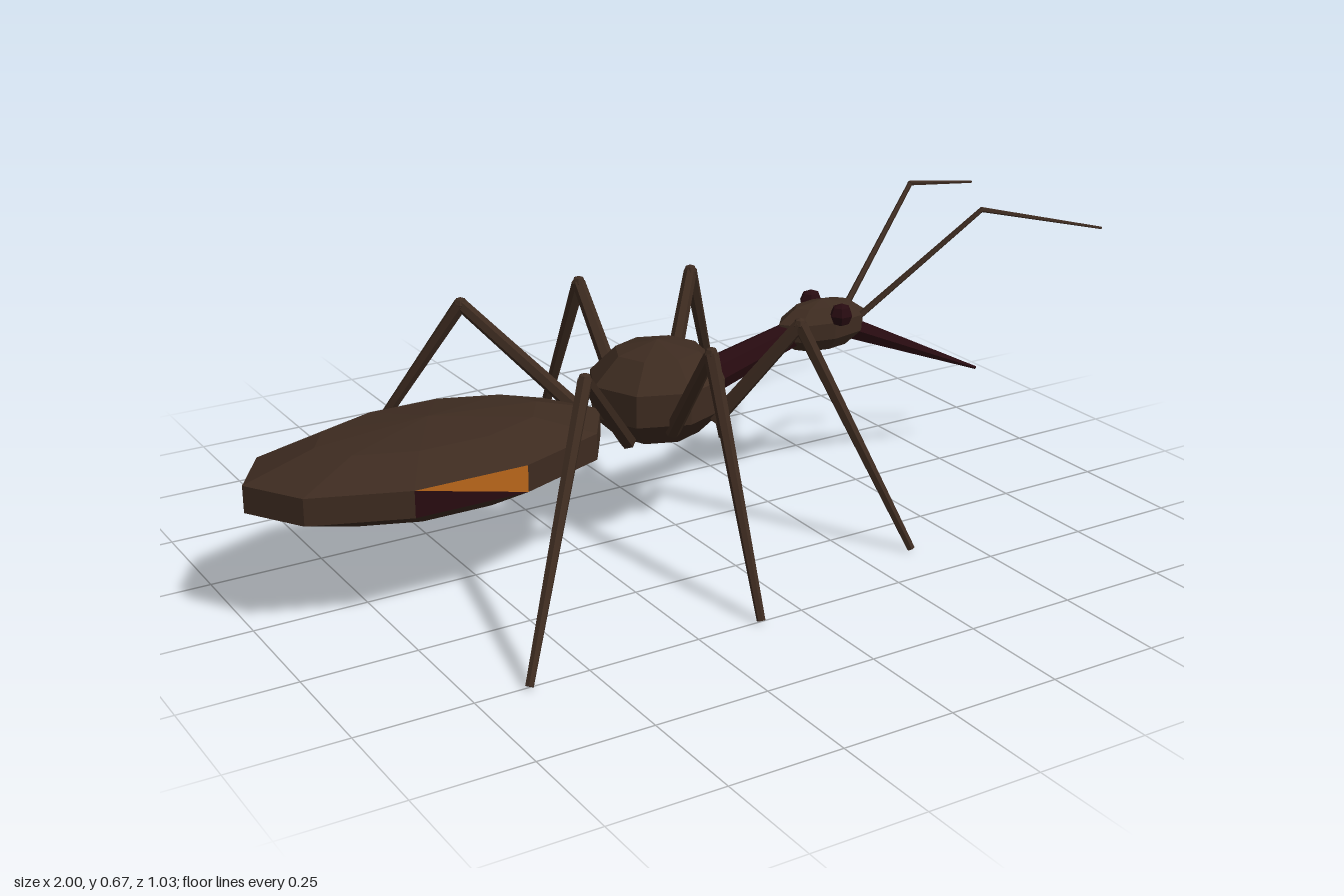
import * as THREE from 'three';

const flat = (name, color) => {
  const m = new THREE.MeshStandardMaterial({ color, flatShading: true });
  m.name = name;
  return m;
};

export function createModel() {
  const brown = flat('shellBrown', 0x3d2b20);
  const maroon = flat('darkMaroon', 0x270b10);
  const orange = flat('amber', 0xb9661a);
  const model = new THREE.Group();
  model.name = 'insect';

  const add = (name, geometry, material, parent = model) => {
    const mesh = new THREE.Mesh(geometry, material);
    mesh.name = name;
    parent.add(mesh);
    return mesh;
  };

  // Low-poly ellipsoid with an upright pole
  const ellipsoid = (name, pos, radii, sides, rings, material, parent) => {
    const g = new THREE.SphereGeometry(1, sides, rings);
    g.scale(...radii);
    g.translate(...pos);
    return add(name, g, material, parent);
  };

  // Tapered rod between two points
  const rod = (name, a, b, ra, rb, sides, material, parent) => {
    const p = new THREE.Vector3(...a);
    const q = new THREE.Vector3(...b);
    const dir = q.clone().sub(p);
    const g = new THREE.CylinderGeometry(rb, ra, dir.length(), sides);
    const mesh = add(name, g, material, parent);
    mesh.position.copy(p).add(q).multiplyScalar(0.5);
    mesh.quaternion.setFromUnitVectors(new THREE.Vector3(0, 1, 0), dir.normalize());
    return mesh;
  };

  // Abdomen, with one amber and one maroon triangle on each flank
  const abdomen = ellipsoid('abdomen', [-0.595, 0.29, 0], [0.426, 0.095, 0.221], 10, 5,
    [brown, orange, maroon]);
  const marks = { 34: 1, 35: 2, 44: 2, 45: 1 };
  const triangles = abdomen.geometry.index.count / 3;
  abdomen.geometry.clearGroups();
  for (let t = 0; t < triangles; t++) abdomen.geometry.addGroup(t * 3, 3, marks[t] || 0);

  // Thorax, neck, head and beak
  ellipsoid('thorax', [-0.047, 0.336, 0], [0.165, 0.116, 0.15], 8, 5, brown);
  rod('neck', [0.05, 0.33, 0], [0.34, 0.41, 0], 0.043, 0.029, 8, maroon);
  ellipsoid('head', [0.388, 0.409, 0], [0.122, 0.061, 0.06], 8, 5, brown);
  rod('beak', [0.45, 0.395, 0], [0.845, 0.217, 0], 0.028, 0.004, 6, maroon);

  // Hip, knee and foot of each leg on the +z side
  const legs = [
    ['frontLeg', [0.04, 0.28, 0.1], [0.175, 0.51, 0.222], [0.37, 0.005, 0.385]],
    ['middleLeg', [-0.075, 0.28, 0.11], [-0.085, 0.51, 0.28], [-0.103, 0.005, 0.505]],
    ['rearLeg', [-0.185, 0.28, 0.11], [-0.38, 0.51, 0.28], [-0.635, 0.005, 0.505]],
  ];

  for (const s of [1, -1]) {
    const side = s > 0 ? 'Near' : 'Far';
    const m = ([x, y, z]) => [x, y, z * s];

    ellipsoid('eye' + side, m([0.4, 0.446, 0.06]), [0.028, 0.027, 0.026], 6, 4, maroon);

    for (const [name, hip, knee, foot] of legs) {
      const leg = new THREE.Group();
      leg.name = name + side;
      model.add(leg);
      rod('thigh', m(hip), m(knee), 0.018, 0.015, 6, brown, leg);
      rod('shin', m(knee), m(foot), 0.016, 0.009, 6, brown, leg);
      ellipsoid('knee', m(knee), [0.016, 0.016, 0.016], 6, 4, brown, leg);
    }

    // Elbowed antenna
    const antenna = new THREE.Group();
    antenna.name = 'antenna' + side;
    model.add(antenna);
    rod('antennaBase', m([0.46, 0.41, 0.025]), m([0.73, 0.66, 0.133]), 0.008, 0.006, 5, brown, antenna);
    rod('antennaTip', m([0.727, 0.661, 0.132]), m([1, 0.602, 0.237]), 0.006, 0.003, 5, brown, antenna);
  }

  return model;
}
